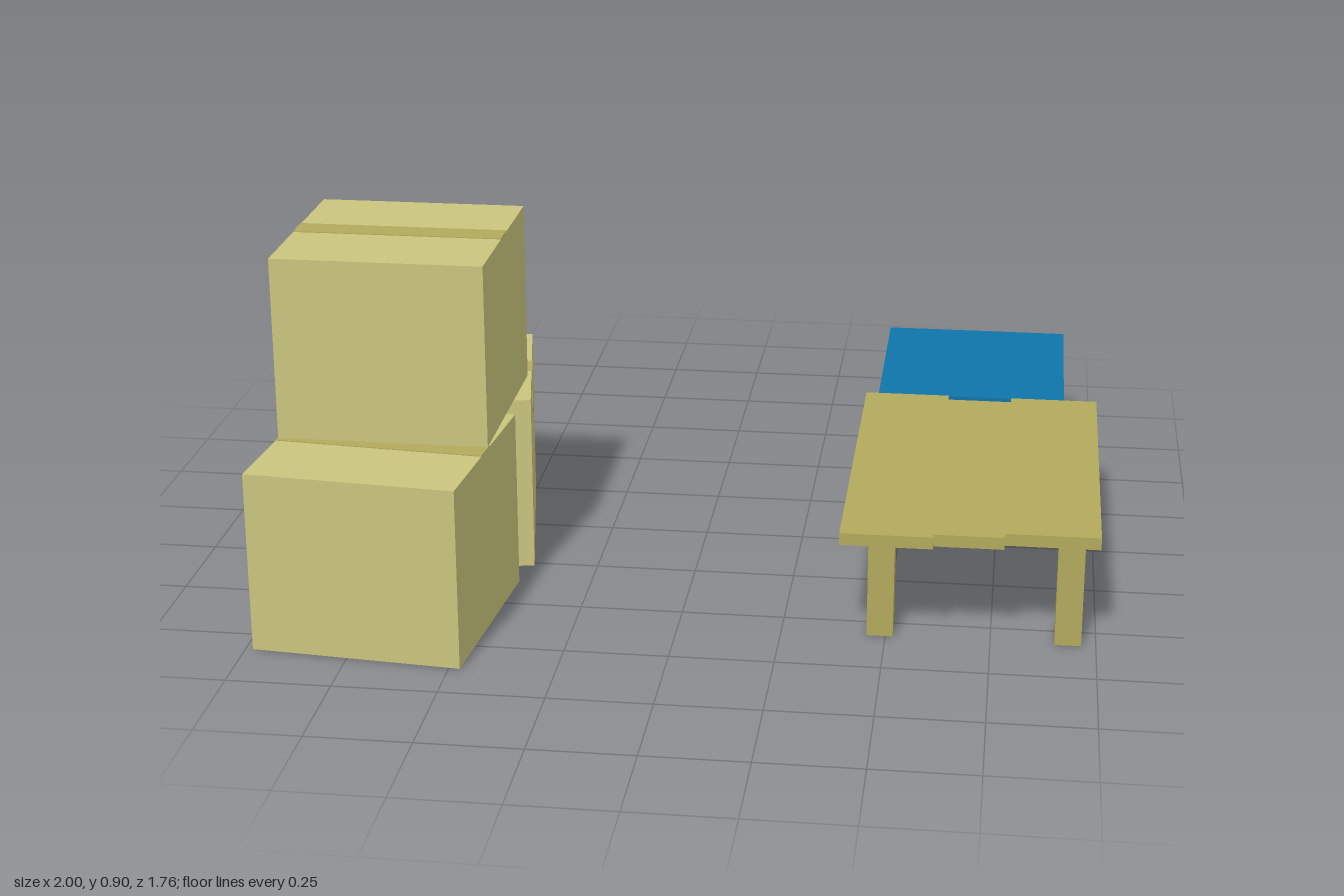
import * as THREE from 'three';

const mat = (name, color) => {
  const m = new THREE.MeshStandardMaterial({ color });
  m.name = name;
  return m;
};

export function createModel() {
  const cardboard = mat('cardboard', 0xc9c47d);
  const tan = mat('tan wood and tape', 0xb2a95b);
  const blue = mat('blue', 0x0d74a8);
  const charcoal = mat('charcoal', 0x454349);

  const model = new THREE.Group();
  model.name = 'boxesAndTable';

  // Block given by its minimum and maximum corners
  const block = (parent, name, material, [x0, y0, z0], [x1, y1, z1]) => {
    const mesh = new THREE.Mesh(new THREE.BoxGeometry(x1 - x0, y1 - y0, z1 - z0), material);
    mesh.position.set((x0 + x1) / 2, (y0 + y1) / 2, (z0 + z1) / 2);
    mesh.name = name;
    parent.add(mesh);
    return mesh;
  };

  // Cardboard boxes with a tape strip along the local x axis
  const W = 0.51, H = 0.45, R = 0.255, T = 0.002, TAPE = 0.035;

  // Round-ended tape tab that hangs down a side
  const tabShape = new THREE.Shape();
  tabShape.moveTo(TAPE, 0);
  tabShape.lineTo(-TAPE, 0);
  tabShape.lineTo(-TAPE, -0.09);
  tabShape.absarc(0, -0.09, TAPE, Math.PI, Math.PI * 2, false);
  tabShape.closePath();
  const tabGeometry = new THREE.ExtrudeGeometry(tabShape, { depth: T, bevelEnabled: false, curveSegments: 8 });

  const carton = (name, x, y, z, turn, { tabs = false, under = false } = {}) => {
    const g = new THREE.Group();
    g.name = name;
    g.position.set(x, y, z);
    g.rotation.y = turn;
    block(g, 'carton', cardboard, [-R, under ? T : 0, -R], [R, H - T, R]);
    block(g, 'topTape', tan, [-R, H - T, -TAPE], [R, H, TAPE]);
    if (under) block(g, 'bottomTape', tan, [-R, 0, -TAPE], [R, T, TAPE]);
    if (tabs) {
      for (const side of [-1, 1]) {
        const tab = new THREE.Mesh(tabGeometry, tan);
        tab.name = side > 0 ? 'leftTapeTab' : 'rightTapeTab';
        tab.position.set(side * W / 2, H, 0);
        tab.rotation.y = side * Math.PI / 2;
        g.add(tab);
      }
    }
    model.add(g);
  };
  carton('backBox', -0.705, 0, 0.06, 0.175, { tabs: true });
  carton('frontBox', -0.705, 0, 0.603, -0.087, { under: true });
  carton('topBox', -0.705, H, 0.347, 0);

  // Table: three uneven planks on four legs
  const table = new THREE.Group();
  table.name = 'table';
  model.add(table);
  [[0.39, 0.61, -0.325, 0.643], [0.61, 0.775, -0.295, 0.625], [0.775, 1, -0.325, 0.6]]
    .forEach(([x0, x1, z0, z1]) => block(table, 'plank', tan, [x0, 0.26, z0], [x1, 0.29, z1]));
  for (const x of [0.455, 0.902]) {
    for (const z of [-0.258, 0.513]) {
      block(table, 'leg', tan, [x, 0, z], [x + 0.063, 0.26, z + 0.063]);
    }
  }

  // Low seat behind the table
  const seat = new THREE.Group();
  seat.name = 'seat';
  model.add(seat);
  block(seat, 'cushion', blue, [0.423, 0.1, -0.882], [0.915, 0.288, -0.326]);
  block(seat, 'base', charcoal, [0.455, 0, -0.847], [0.885, 0.095, -0.355]);

  return model;
}
